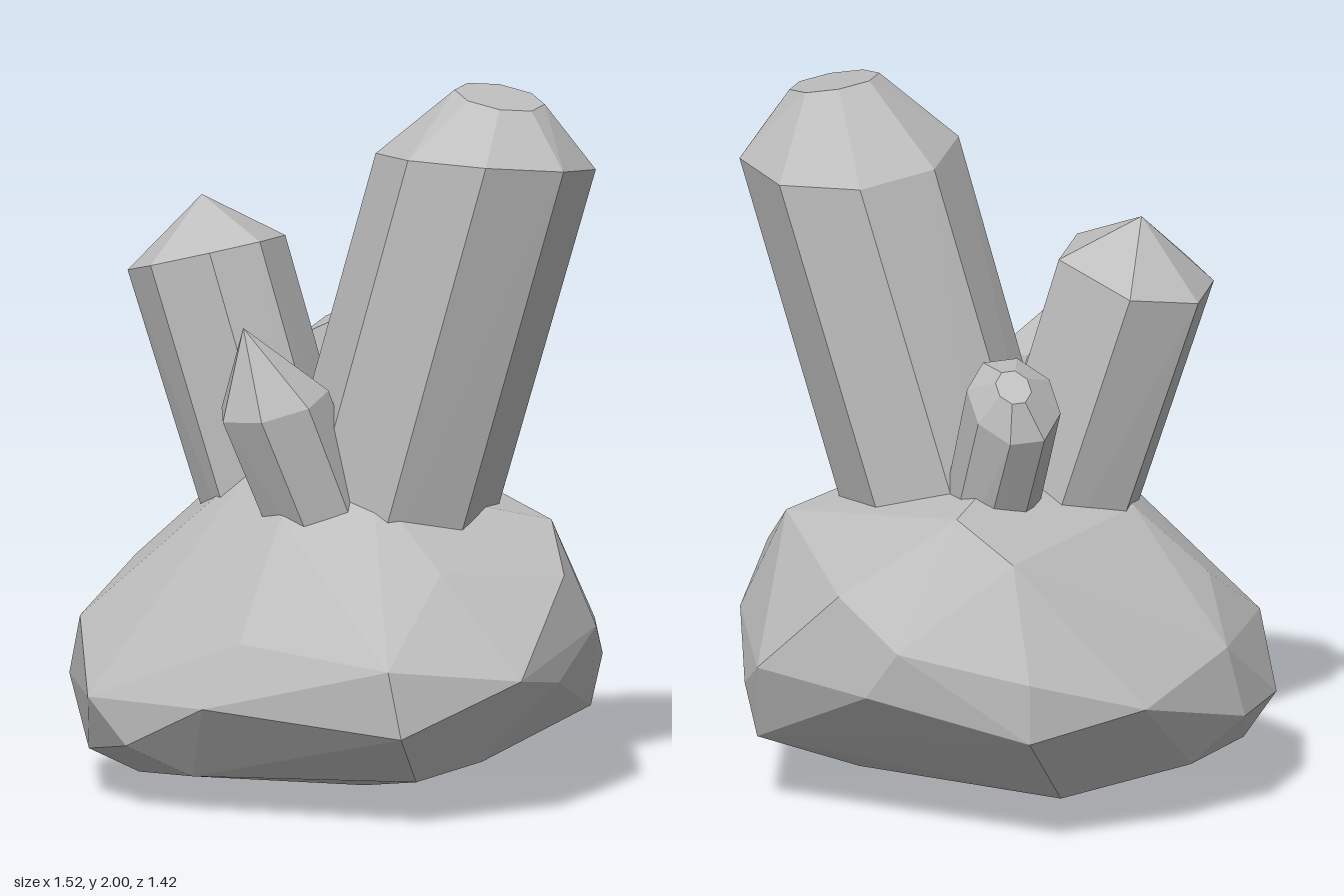
import * as THREE from 'three';
import { ConvexGeometry } from 'three/addons/geometries/ConvexGeometry.js';

const stone = new THREE.MeshStandardMaterial({ color: 0xbfbfbf, flatShading: true });
stone.name = 'grey stone';

// Ring of corners around a centre; its plane may tilt along x and z.
function ring([cx, cy, cz], radius, angles, tiltX = 0, tiltZ = 0) {
  return angles.map((deg) => {
    const a = THREE.MathUtils.degToRad(deg);
    const dx = radius * Math.cos(a), dz = radius * Math.sin(a);
    return new THREE.Vector3(cx + dx, cy + dx * tiltX + dz * tiltZ, cz + dz);
  });
}

const evenAngles = (sides, phase) => Array.from({ length: sides }, (_, i) => phase + (i * 360) / sides);

// Leaning prism with a faceted tip: foot and shoulder rings, then a cap ring or a point.
function crystal(name, { foot, shoulder, radius, tip, tipRadius = 0, angles, tilt = [0, 0], tipTilt = [0, 0] }) {
  const points = [
    ...ring(foot, radius, angles),
    ...ring(shoulder, radius, angles, ...tilt),
    ...(tipRadius ? ring(tip, tipRadius, angles, ...tipTilt) : [new THREE.Vector3(...tip)]),
  ];
  const mesh = new THREE.Mesh(new ConvexGeometry(points), stone);
  mesh.name = name;
  return mesh;
}

// Corners of the boulder, from its underside to its top.
const boulderCorners = [
  [0.04, 0, -0.06],
  [-0.4, 0.06, 0.4], [0.53, 0.12, 0.39], [0.23, 0.11, -0.39], [-0.1, 0.1, 0.57],
  [-0.41, 0.11, -0.39], [-0.66, 0.17, -0.1], [-0.66, 0.17, 0.2], [-0.5, 0.13, 0.5],
  [0.62, 0.16, 0.2], [-0.27, 0.18, 0.65], [0.47, 0.2, -0.54], [0.57, 0.26, 0.52],
  [-0.42, 0.3, 0.62], [-0.76, 0.29, 0.03], [-0.72, 0.29, 0.28], [0.76, 0.4, 0.21],
  [0.72, 0.36, -0.03], [0.51, 0.35, -0.54], [0.03, 0.42, -0.71], [-0.44, 0.33, -0.62],
  [-0.44, 0.5, -0.62], [-0.67, 0.4, -0.37], [0.03, 0.32, 0.71], [0.54, 0.45, 0.54],
  [-0.6, 0.48, 0.4], [-0.72, 0.49, 0], [0.67, 0.48, -0.28], [0.42, 0.43, -0.63],
  [-0.07, 0.56, -0.71], [0.1, 0.5, 0.63], [0.66, 0.64, -0.14], [0.5, 0.68, 0.23],
  [0.15, 0.68, -0.65], [-0.55, 0.63, 0.2], [-0.32, 0.8, -0.5], [-0.13, 0.9, -0.48],
  [-0.1, 0.92, -0.3], [0.54, 0.77, -0.25], [-0.37, 0.82, 0.1], [-0.1, 0.94, 0.27],
  [0.25, 0.9, 0.2], [0.08, 0.82, 0.4],
];

export function createModel() {
  const model = new THREE.Group();
  model.name = 'crystalCluster';

  const boulder = new THREE.Mesh(
    new ConvexGeometry(boulderCorners.map((p) => new THREE.Vector3(...p))), stone);
  boulder.name = 'boulder';

  model.add(
    boulder,
    crystal('largeCrystal', {
      foot: [0.07, 0.5, 0.015], shoulder: [0.435, 1.79, -0.082], radius: 0.305, tilt: [0, 0.13],
      tip: [0.48, 1.975, -0.085], tipRadius: 0.125, tipTilt: [-0.2, 0], angles: evenAngles(8, 10),
    }),
    crystal('leftLeaningCrystal', {
      foot: [-0.05, 0.5, 0.06], shoulder: [-0.345, 1.49, 0.152], radius: 0.22, tilt: [0.27, 0],
      tip: [-0.37, 1.65, 0.14], angles: [-115, -43, 13, 53, 100, 140, 189],
    }),
    crystal('frontCrystal', {
      foot: [0.125, 0.6, 0.165], shoulder: [0.02, 1.13, 0.355], radius: 0.155, tilt: [0.1, -0.25],
      tip: [-0.02, 1.35, 0.44], angles: evenAngles(7, 15),
    }),
    crystal('backCrystal', {
      foot: [0.01, 0.6, -0.13], shoulder: [-0.185, 1.19, -0.255], radius: 0.13, tilt: [0.5, 0.5],
      tip: [-0.215, 1.25, -0.31], tipRadius: 0.05, tipTilt: [0.5, 0.5], angles: evenAngles(8, 20),
    }),
  );
  return model;
}
